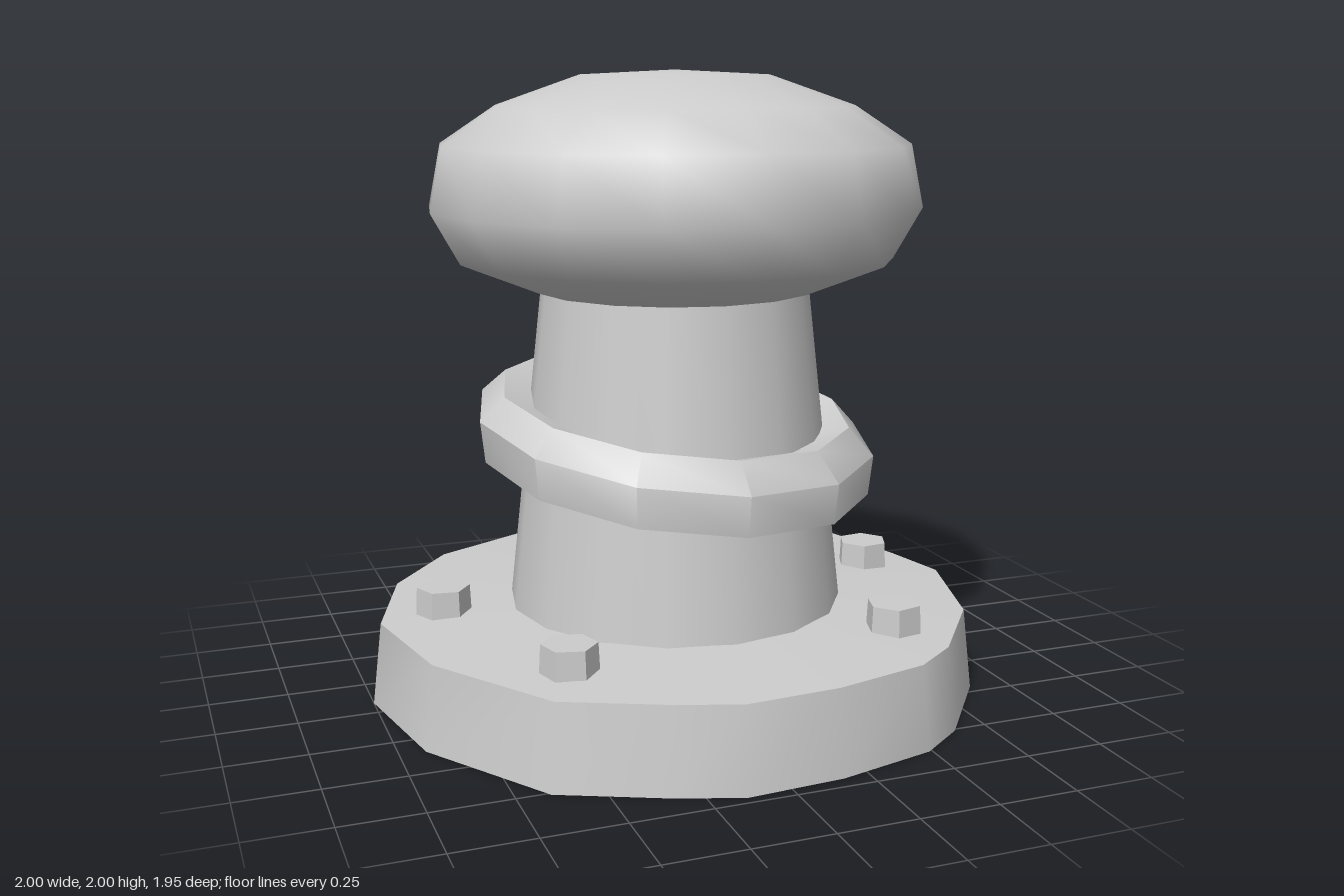
import * as THREE from 'three';
import { toCreasedNormals, mergeVertices } from 'three/addons/utils/BufferGeometryUtils.js';

const grey = new THREE.MeshStandardMaterial({ color: 0xcccccc });
grey.name = 'cast grey';

function addPart(group, name, geometry) {
  const mesh = new THREE.Mesh(geometry, grey);
  mesh.name = name;
  group.add(mesh);
  return mesh;
}

const profile = (pairs) => pairs.map(([r, y]) => new THREE.Vector2(r, y));

// Stack scaled copies of an [x, z] outline into a skin; levels are [scale, y]
function stackOutline(outline, levels) {
  const n = outline.length;
  const positions = [];
  const index = [];
  for (const [s, y] of levels) {
    for (const [x, z] of outline) positions.push(x * s, y, z * s);
  }
  for (let j = 0; j < levels.length - 1; j++) {
    for (let i = 0; i < n; i++) {
      const a = j * n + i;
      const b = j * n + (i + 1) % n;
      if (levels[j][0] > 0) index.push(a, b, b + n);
      else index.push(a, b + n, a + n);
      if (levels[j][0] > 0 && levels[j + 1][0] > 0) index.push(a, b + n, a + n);
    }
  }
  const geometry = new THREE.BufferGeometry();
  geometry.setAttribute('position', new THREE.Float32BufferAttribute(positions, 3));
  geometry.setIndex(index);
  return toCreasedNormals(geometry, 0.8);
}

export function createModel() {
  const bollard = new THREE.Group();
  bollard.name = 'mooringBollard';

  // Rough-cut round foot with a slightly domed top
  const outline = [
    [-0.14, 0.97], [0.17, 0.95], [0.49, 0.87], [0.64, 0.76], [0.87, 0.46], [1, 0.04],
    [0.95, -0.2], [0.84, -0.57], [0.38, -0.9], [0.2, -0.98], [-0.03, -0.98], [-0.28, -0.96],
    [-0.64, -0.77], [-0.87, -0.48], [-1, -0.08], [-0.92, 0.35], [-0.65, 0.76], [-0.34, 0.9],
  ];
  addPart(bollard, 'base', stackOutline(outline, [[0, 0], [1, 0], [0.97, 0.265], [0.5, 0.29]]));

  // Tapered post
  addPart(bollard, 'post', new THREE.LatheGeometry(
    profile([[0.55, 0.25], [0.495, 0.75], [0.43, 1.34]]), 16));

  // Mushroom head
  addPart(bollard, 'head', new THREE.LatheGeometry(profile([
    [0.4, 1.3], [0.45, 1.31], [0.7, 1.41], [0.79, 1.57], [0.75, 1.77],
    [0.57, 1.89], [0.3, 1.985], [0, 2],
  ]), 16));

  // Tilted collar of rope round the post
  const rope = new THREE.LatheGeometry(profile([
    [0.46, -0.08], [0.55, -0.12], [0.635, -0.09], [0.65, 0.04],
    [0.57, 0.12], [0.46, 0.08], [0.46, -0.08],
  ]), 12);
  const p = rope.attributes.position;
  for (let i = 0; i < p.count; i++) {
    p.setY(i, p.getY(i) + 0.825 - 0.075 * p.getX(i) - 0.14 * p.getZ(i));
  }
  rope.deleteAttribute('normal');
  rope.deleteAttribute('uv');
  addPart(bollard, 'ropeCollar', toCreasedNormals(mergeVertices(rope), 0.9));

  // Five bolt heads on the foot
  const bolt = toCreasedNormals(new THREE.CylinderGeometry(0.085, 0.09, 0.1, 6), 0.5);
  const spots = [[0, -0.74], [0.75, -0.1], [0.53, 0.55], [-0.53, 0.55], [-0.76, -0.1]];
  spots.forEach(([x, z], i) => {
    const mesh = addPart(bollard, `bolt${i + 1}`, bolt);
    mesh.position.set(x, 0.31, z);
    mesh.rotation.y = Math.atan2(x, z);
  });

  return bollard;
}
